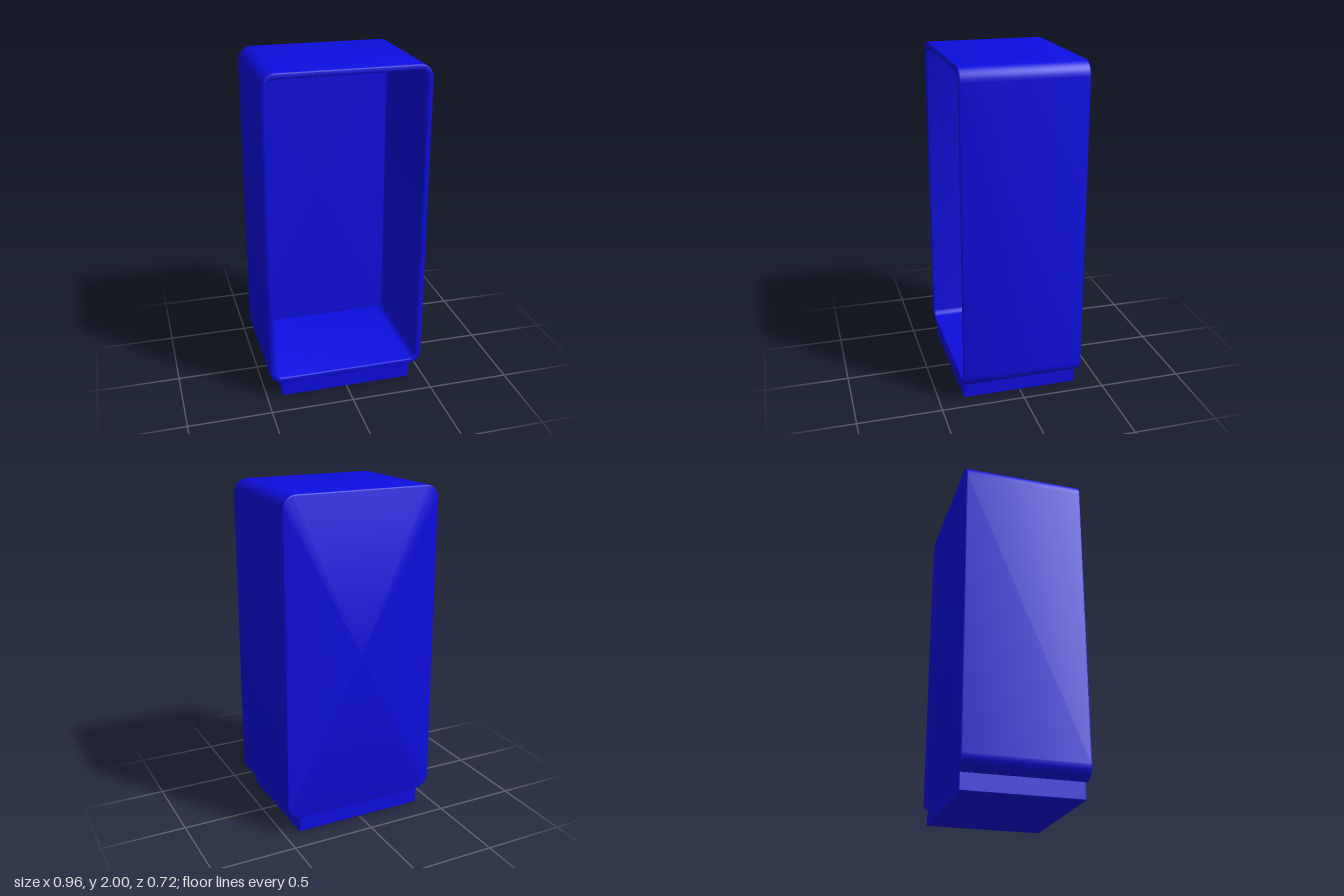
import * as THREE from 'three';
import { toCreasedNormals } from 'three/addons/utils/BufferGeometryUtils.js';
import { RoundedBoxGeometry } from 'three/addons/geometries/RoundedBoxGeometry.js';

const W = 0.48, H = 0.95, R = 0.08, D = 0.362; // half width, half height, corner radius, half depth
const WALL = 0.035, BEVEL = 0.008, STEPS = 8;

// Rounded rectangle, anticlockwise from the front, shrunk evenly by inset
function ring(inset, z) {
  const points = [];
  const r = R - inset;
  for (let corner = 0; corner < 4; corner++) {
    const sx = corner === 0 || corner === 3 ? 1 : -1;
    const sy = corner < 2 ? 1 : -1;
    for (let k = 0; k <= STEPS; k++) {
      const a = (corner + k / STEPS) * Math.PI / 2;
      points.push([sx * (W - R) + r * Math.cos(a), sy * (H - R) + r * Math.sin(a), z]);
    }
  }
  return points;
}

// Quarter-round edge in the (inset, z) section
function edge(inset, z, from, to) {
  return [0, 1, 2, 3].map((k) => {
    const a = from + (to - from) * k / 3;
    return ring(inset - BEVEL * Math.cos(a), z + BEVEL * Math.sin(a));
  });
}

// One skin: back, outer walls, front rim, inner walls, inner back
function shellGeometry() {
  const count = 4 * (STEPS + 1);
  const centre = (z) => Array.from({ length: count }, () => [0, 0, z]);
  const rings = [
    centre(-D),
    ...edge(BEVEL, BEVEL - D, -Math.PI / 2, 0),
    ...edge(BEVEL, D - BEVEL, 0, Math.PI / 2),
    ...edge(WALL - BEVEL, D - BEVEL, Math.PI / 2, Math.PI),
    ring(WALL, WALL - D),
    centre(WALL - D),
  ];
  const index = [];
  for (let i = 0; i < rings.length - 1; i++) {
    for (let j = 0; j < count; j++) {
      const k = (j + 1) % count;
      const a = i * count + j, b = i * count + k;
      if (i > 0) index.push(a, b, b + count);
      if (i < rings.length - 2) index.push(a, b + count, a + count);
    }
  }
  const geometry = new THREE.BufferGeometry();
  geometry.setAttribute('position', new THREE.Float32BufferAttribute(rings.flat(2), 3));
  geometry.setIndex(index);
  return toCreasedNormals(geometry, 0.65);
}

export function createModel() {
  const group = new THREE.Group();
  const material = new THREE.MeshStandardMaterial({ color: 0x0d0de0 });

  // Open-fronted cabinet
  const cabinet = new THREE.Mesh(shellGeometry(), material);
  cabinet.name = 'cabinet';
  cabinet.position.y = 2 - H;
  group.add(cabinet);

  // Recessed plinth, its top just inside the cabinet floor
  const plinth = new THREE.Mesh(new RoundedBoxGeometry(0.81, 0.115, 0.70, 3, 0.006), material);
  plinth.name = 'plinth';
  plinth.position.y = 0.0575;
  group.add(plinth);

  return group;
}
